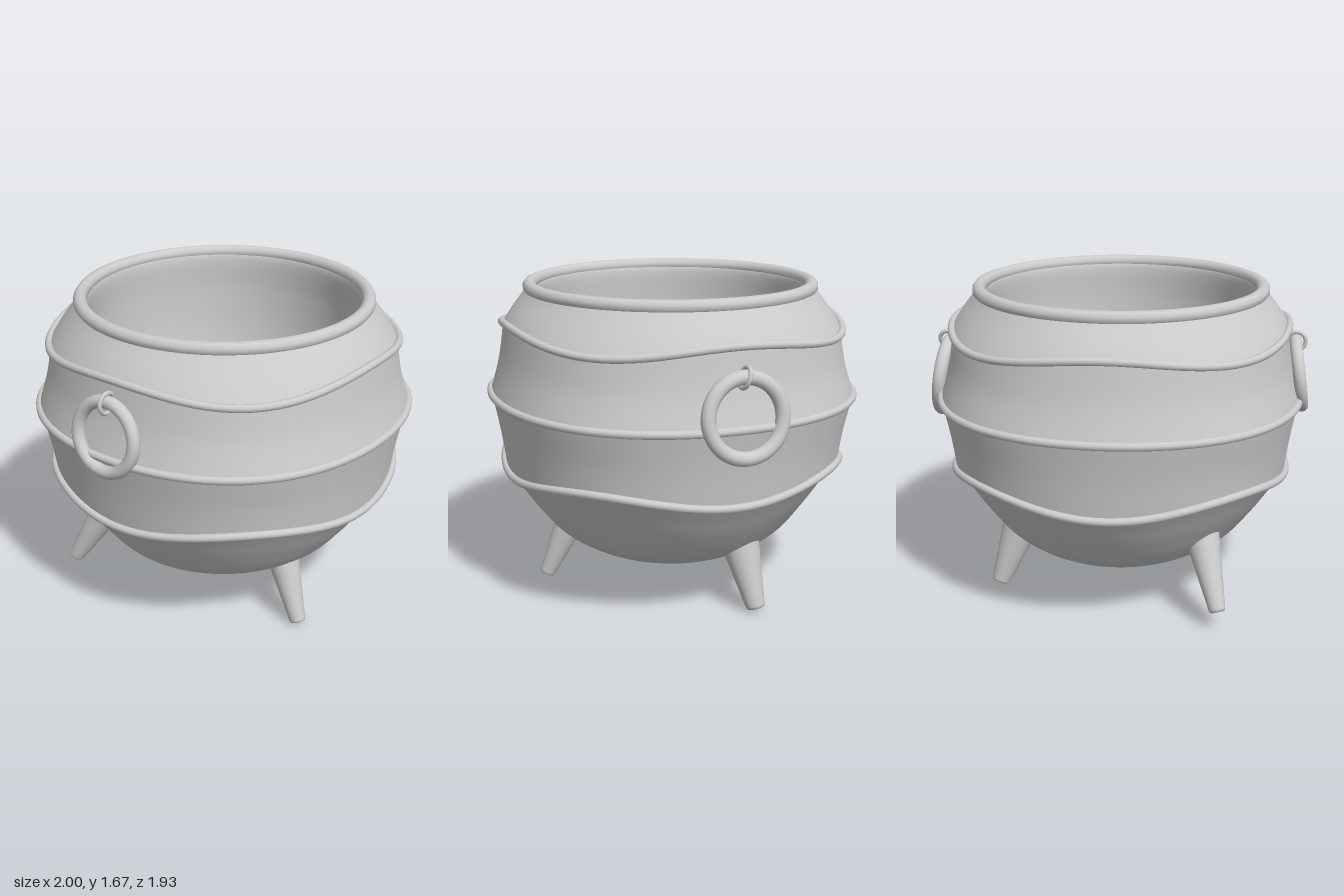
import * as THREE from 'three';
import { mergeVertices } from 'three/addons/utils/BufferGeometryUtils.js';

const material = new THREE.MeshStandardMaterial({ color: 0xcccccc });
const V = (x, y, z) => new THREE.Vector3(x, y, z);

function addMesh(parent, name, geometry) {
  const mesh = new THREE.Mesh(geometry, material);
  mesh.name = name;
  parent.add(mesh);
  return mesh;
}

// Bowl profile: radius, height
const BOWL = [[0, 0.147], [0.2, 0.162], [0.43, 0.225], [0.61, 0.335],
  [0.727, 0.48], [0.815, 0.615], [0.88, 0.71]];

// Rows of height, wave lift and diagonal swelling of the pot
const WAVE = [[0.2, 0, 0], [0.71, -0.034, 0.028], [1.077, 0, 0.028], [1.432, 0.026, 0.03], [1.63, 0, 0]];
function waveAt(y) {
  for (let i = 1; i < WAVE.length; i++) {
    const [y0, lift0, swell0] = WAVE[i - 1], [y1, lift1, swell1] = WAVE[i];
    if (y < y0 || y > y1) continue;
    const t = THREE.MathUtils.smoothstep(y, y0, y1);
    return [lift0 + (lift1 - lift0) * t, swell0 + (swell1 - swell0) * t];
  }
  return [0, 0];
}

// Point on the pot at a radius, height and angle
function potPoint(r, y, a) {
  const [lift, swell] = waveAt(y);
  const radius = r + swell * Math.sin(2 * a) ** 2;
  return V(radius * Math.sin(a), y + lift * Math.cos(4 * a), radius * Math.cos(a));
}

// Smooth revolved profile
function revolve(points, divisions) {
  const curve = new THREE.SplineCurve(points.map(([r, y]) => new THREE.Vector2(r, y)));
  const profile = curve.getPoints(divisions);
  profile.forEach(p => { p.x = Math.max(p.x, 0); });
  return new THREE.LatheGeometry(profile, 96);
}

// Outer wall section, shaped by the wave
function wall(points, divisions) {
  let geo = revolve(points, divisions);
  const pos = geo.attributes.position;
  for (let i = 0; i < pos.count; i++) {
    const x = pos.getX(i), z = pos.getZ(i);
    const p = potPoint(Math.hypot(x, z), pos.getY(i), Math.atan2(x, z));
    pos.setXYZ(i, p.x, p.y, p.z);
  }
  geo.deleteAttribute('uv');
  geo.deleteAttribute('normal');
  geo = mergeVertices(geo, 1e-5);
  geo.computeVertexNormals();
  return geo;
}

// Raised bead round the pot at a given height
function bead(r, y, tube) {
  const pts = [];
  for (let i = 0; i < 64; i++) pts.push(potPoint(r, y, (i / 64) * Math.PI * 2));
  return new THREE.TubeGeometry(new THREE.CatmullRomCurve3(pts, true), 128, tube, 10, true);
}

function bowlHeight(r) {
  const i = Math.max(1, BOWL.findIndex(p => p[0] >= r));
  const [r0, y0] = BOWL[i - 1], [r1, y1] = BOWL[i];
  return y0 + (y1 - y0) * (r - r0) / (r1 - r0);
}

// Tapered foot with a softened tip, its upper edge trimmed to the bowl
function addLeg(parent, name, foot, top, width) {
  const profile = [[0, 0], [0.028, 0], [0.038, 0.004], [0.043, 0.016], [0.1, foot.distanceTo(top)]]
    .map(([r, y]) => new THREE.Vector2(r * width, y));
  const geo = new THREE.LatheGeometry(profile, 24);
  const turn = new THREE.Quaternion().setFromUnitVectors(V(0, 1, 0), top.clone().sub(foot).normalize());
  geo.applyQuaternion(turn).translate(foot.x, foot.y, foot.z);
  const pos = geo.attributes.position;
  for (let i = 4; i < pos.count; i += 5) {
    const low = V(0, 0, 0).fromBufferAttribute(pos, i - 1);
    const high = V(0, 0, 0).fromBufferAttribute(pos, i);
    const p = low.clone();
    for (let t = 0.02; t <= 1 && p.y < bowlHeight(Math.hypot(p.x, p.z)) + 0.01; t += 0.02) {
      p.lerpVectors(low, high, t);
    }
    pos.setXYZ(i, p.x, p.y, p.z);
  }
  addMesh(parent, name, geo);
}

// Hanging ring and the small loop that holds it
function addHandle(parent, name, side, ringX, ringY, size, loopY, loopTilt) {
  const handle = new THREE.Group();
  handle.name = name;
  parent.add(handle);
  const ring = addMesh(handle, 'handleRing',
    new THREE.TorusGeometry(0.191 * size, 0.036 * size, 14, 48).rotateY(Math.PI / 2));
  ring.position.set(side * ringX, ringY, 0);
  ring.rotation.z = side * 0.14;
  const loop = addMesh(handle, 'handleLoop', new THREE.TorusGeometry(0.05, 0.011, 10, 28));
  loop.position.set(side * 0.92, loopY, 0);
  loop.rotation.x = loopTilt;
}

export function createModel() {
  const model = new THREE.Group();
  model.name = 'cauldron';

  const pot = new THREE.Group();
  pot.name = 'pot';
  pot.position.set(-0.006, 0, -0.004);
  model.add(pot);

  // Outer wall in four sections that crease at the beads
  addMesh(pot, 'bowl', wall(BOWL, 32));
  addMesh(pot, 'lowerBelly', wall([[0.88, 0.71], [0.905, 0.88], [0.945, 1.077]], 12));
  addMesh(pot, 'upperBelly', wall([[0.945, 1.077], [0.896, 1.25], [0.868, 1.432]], 12));
  addMesh(pot, 'shoulder', wall([[0.868, 1.432], [0.81, 1.53], [0.742, 1.635]], 12));

  // Smooth inner bowl, running from the mouth down to the floor
  addMesh(pot, 'innerBowl', revolve([[0.735, 1.64], [0.698, 1.6], [0.703, 1.4], [0.69, 1.15], [0.645, 0.9],
    [0.56, 0.66], [0.43, 0.46], [0.23, 0.33], [0, 0.29]], 50));

  // Rim and decorative beads
  addMesh(pot, 'rim', bead(0.735, 1.628, 0.035));
  addMesh(pot, 'upperBead', bead(0.875, 1.432, 0.02));
  addMesh(pot, 'middleBead', bead(0.945, 1.075, 0.021));
  addMesh(pot, 'lowerBead', bead(0.886, 0.708, 0.021));

  // Three splayed legs
  addLeg(model, 'frontLeg', V(-0.23, 0.008, 0.65), V(-0.165, 0.45, 0.465), 1);
  addLeg(model, 'leftLeg', V(0.64, 0.012, -0.222), V(0.485, 0.45, -0.165), 1.18);
  addLeg(model, 'backLeg', V(-0.56, 0.095, -0.637), V(-0.45, 0.5, -0.42), 1);

  addHandle(model, 'leftHandle', 1, 0.938, 1.133, 1, 1.323, -0.32);
  addHandle(model, 'rightHandle', -1, 0.941, 1.187, 0.91, 1.355, 0);
  return model;
}
